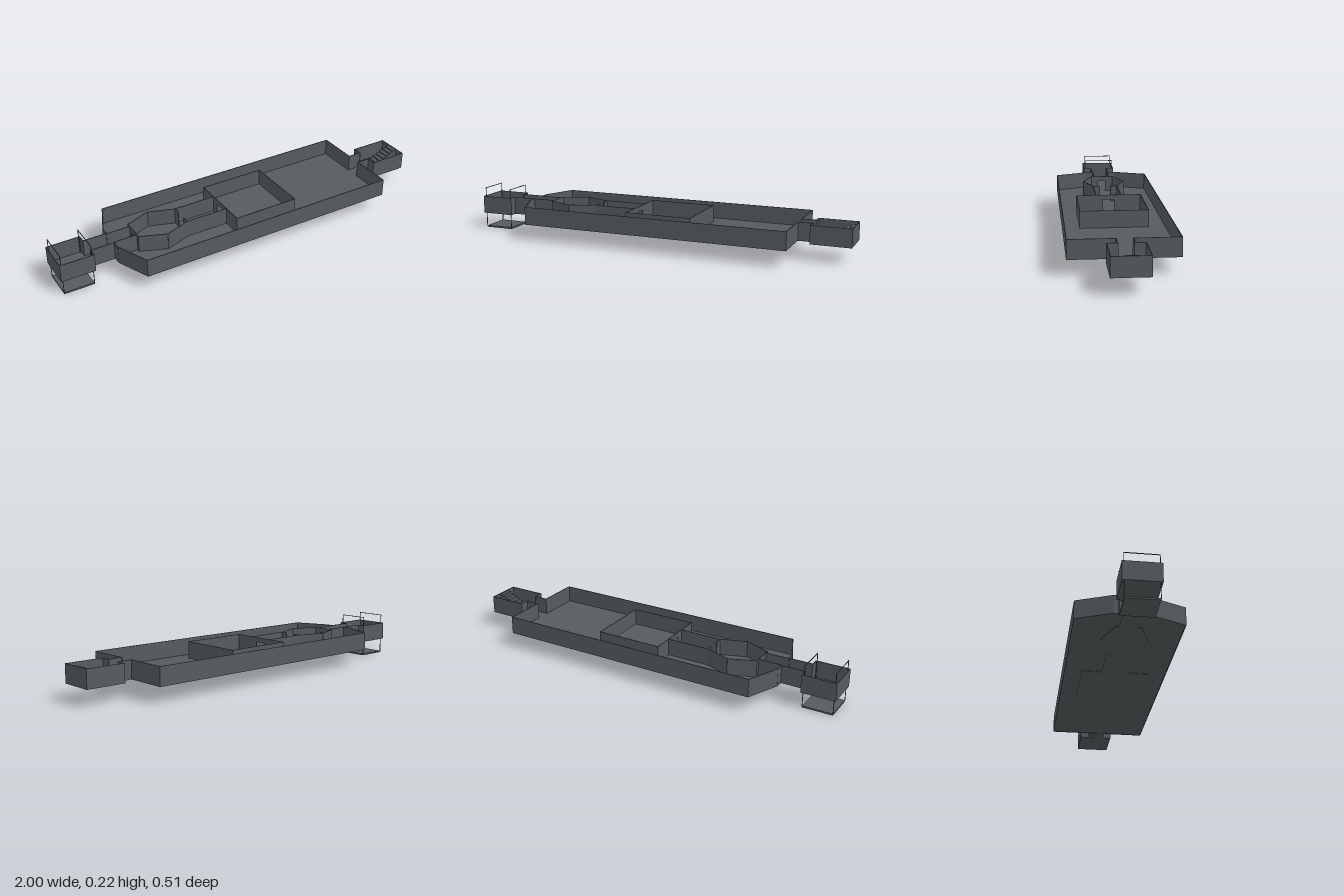
import * as THREE from 'three';

const BASE = 0.08, TOP = 0.172, T = 0.004;

export function createModel() {
  const model = new THREE.Group();
  model.name = 'floorPlan';
  const slate = new THREE.MeshStandardMaterial({ color: 0x565b5e });
  slate.name = 'slate grey';

  const box = (parent, name, x0, x1, y0, y1, z0, z1) => {
    const m = new THREE.Mesh(new THREE.BoxGeometry(x1 - x0, y1 - y0, z1 - z0), slate);
    m.position.set((x0 + x1) / 2, (y0 + y1) / 2, (z0 + z1) / 2);
    m.name = name;
    parent.add(m);
    return m;
  };

  // Upright wall between two plan points
  const wall = (parent, name, [ax, az], [bx, bz], y0 = BASE, y1 = TOP) => {
    const len = Math.hypot(bx - ax, bz - az);
    const m = box(parent, name, -len / 2 - T / 2, len / 2 + T / 2, y0, y1, -T / 2, T / 2);
    m.position.set((ax + bx) / 2, (y0 + y1) / 2, (az + bz) / 2);
    m.rotation.y = -Math.atan2(bz - az, bx - ax);
  };

  // Walls along a plan path, repeated on the other side of the centre line
  const walls = (parent, name, path) => {
    for (const s of [1, -1])
      for (let i = 0; i < path.length - 1; i++)
        wall(parent, name, [path[i][0], s * path[i][1]], [path[i + 1][0], s * path[i + 1][1]]);
  };

  // Cross wall with a central doorway
  const doorWall = (parent, x, half, door, lintel = 0) => {
    for (const s of [1, -1])
      if (half > door) wall(parent, 'doorWall', [x, s * door], [x, s * half]);
    if (lintel) wall(parent, 'lintel', [x, -door], [x, door], TOP - lintel, TOP);
  };

  // Flat floor mirrored from one half of its outline
  const floor = (parent, half, y0, y1) => {
    const pts = [...half, ...half.map(([x, z]) => [x, -z]).reverse()];
    const shape = new THREE.Shape(pts.map(([x, z]) => new THREE.Vector2(x, z)));
    const geo = new THREE.ExtrudeGeometry(shape, { depth: y1 - y0, bevelEnabled: false });
    geo.rotateX(-Math.PI / 2);
    geo.translate(0, y0, 0);
    const m = new THREE.Mesh(geo, slate);
    m.name = 'floor';
    parent.add(m);
  };

  const group = (name) => {
    const g = new THREE.Group();
    g.name = name;
    model.add(g);
    return g;
  };

  // Main hall with chamfered end
  const hall = group('mainHall');
  const hallPath = [[-0.71, 0.085], [-0.64, 0.252], [0.73, 0.252]];
  floor(hall, hallPath, 0.082, 0.086);
  walls(hall, 'hallWall', hallPath);
  doorWall(hall, -0.71, 0.085, 0.043);
  doorWall(hall, 0.73, 0.252, 0.037);

  // Chain of inner rooms: entry passage, hexagon, passage, square room
  const inner = group('innerRooms');
  const innerPath = [[-0.71, 0.041], [-0.59, 0.041], [-0.59, 0.06], [-0.46, 0.111],
    [-0.33, 0.065], [-0.11, 0.065], [-0.11, 0.167], [0.23, 0.167]];
  floor(inner, innerPath, 0.079, 0.088);
  walls(inner, 'innerWall', innerPath);
  doorWall(inner, -0.59, 0.06, 0.022, 0.025);
  doorWall(inner, -0.33, 0.065, 0.03);
  doorWall(inner, -0.11, 0.167, 0.03, 0.025);
  wall(inner, 'squareRoomEndWall', [0.23, -0.167], [0.23, 0.167]);

  // Passages linking the hall to the end rooms
  const links = group('linkPassages');
  for (const [x0, x1, h] of [[-0.83, -0.71, 0.045], [0.73, 0.8, 0.038]]) {
    floor(links, [[x0, h], [x1, h]], 0.08, 0.086);
    walls(links, 'passageWall', [[x0, h], [x1, h]]);
  }

  // End rooms, each with a doorway facing the hall
  for (const [name, near, far, door] of [['liftRoom', -0.83, -0.998, 0.043], ['stairRoom', 0.802, 0.998, 0.036]]) {
    const g = group(name);
    box(g, 'floor', Math.min(near, far), Math.max(near, far), 0.08, 0.086, -0.085, 0.085);
    walls(g, 'sideWall', [[near, 0.085], [far, 0.085]]);
    wall(g, 'endWall', [far, -0.085], [far, 0.085]);
    doorWall(g, near, 0.085, door);
  }

  // Stairs rising toward the far wall
  const stairs = group('stairs');
  const steps = 9, run = 0.19 / steps;
  for (let i = 0; i < steps; i++)
    box(stairs, 'step', 0.806 + i * run, 0.806 + (i + 1) * run, 0.084,
      0.086 + (i + 1) * 0.082 / steps, -0.033, 0.033);

  // Lift platform hung from two thin frames
  const lift = group('lift');
  box(lift, 'platform', -0.99, -0.838, 0, 0.008, -0.077, 0.077);
  for (const x of [-0.99, -0.838]) {
    for (const z of [-0.077, 0.077])
      box(lift, 'post', x - 0.0015, x + 0.0015, 0.004, 0.218, z - 0.0015, z + 0.0015);
    box(lift, 'topBar', x - 0.0015, x + 0.0015, 0.215, 0.218, -0.077, 0.077);
  }

  return model;
}
